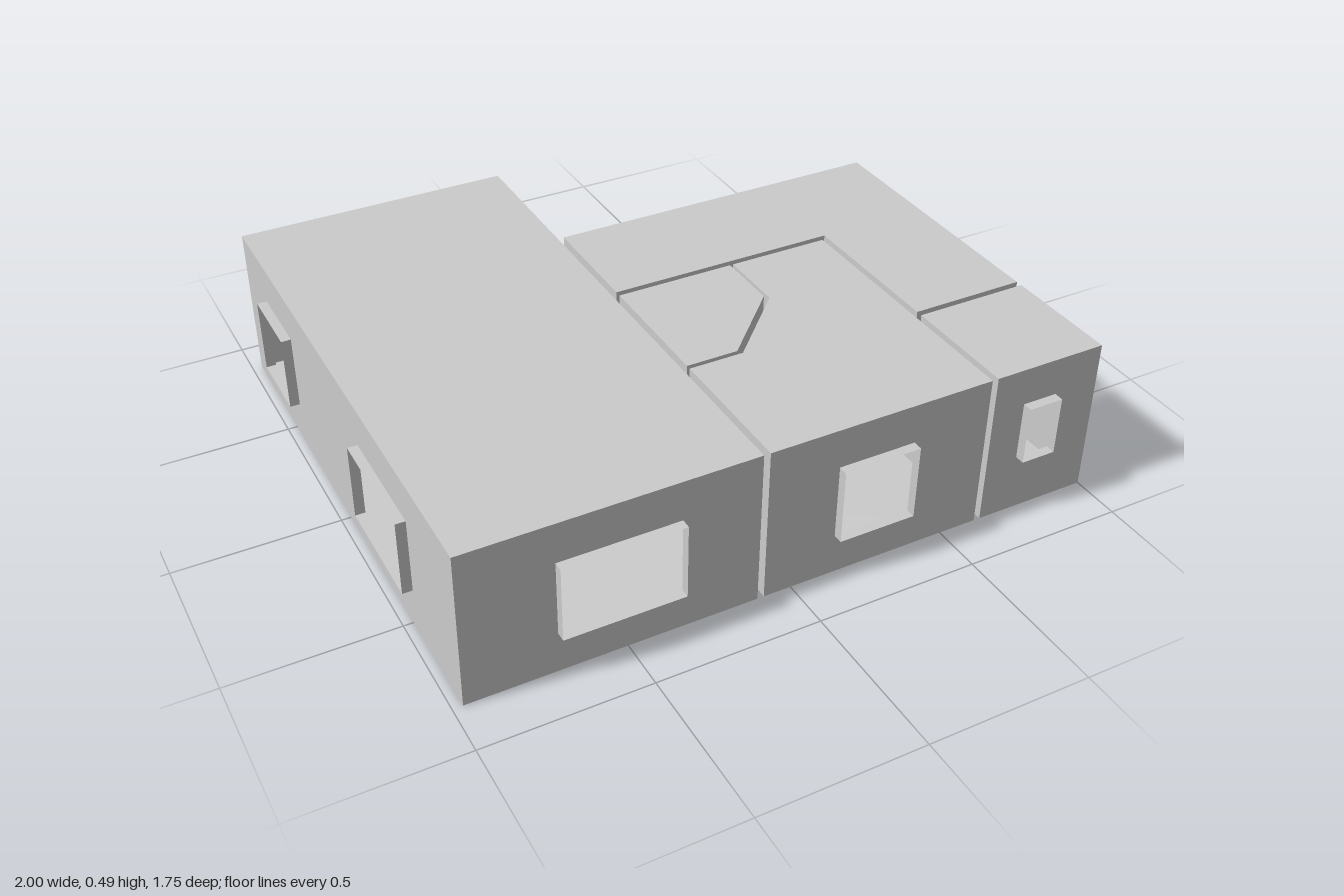
import * as THREE from 'three';

const H = 0.49;                 // room height
const TOP = 0.365;              // head height of doors and windows
const SILL = 0.13;
const OUT = 0.03, GAP = 0.02;   // depth of window reveals and of gaps between rooms

const material = new THREE.MeshStandardMaterial({
  color: 0xcccccc, side: THREE.DoubleSide, flatShading: true,
});

// Openings: wall index, start and end along that wall, reveal depth (0 = hole only)
const door = (wall, u0, u1, depth = 0) => ({ wall, u0, u1, y0: 0, y1: TOP, depth, name: 'doorReveal' });
const windowAt = (wall, u0, u1, y0 = SILL, y1 = TOP) => ({ wall, u0, u1, y0, y1, depth: OUT, name: 'windowReveal' });

// Floor plans as [x, z] corners, running so that each wall faces outward
const rooms = [
  {
    name: 'longRoom',
    plan: [[-0.97, 0.845], [-0.105, 0.845], [-0.105, -0.875], [-0.97, -0.875]],
    openings: [windowAt(0, 0.27, 0.63), door(1, 0.985, 1.155, GAP),
      windowAt(3, 0.205, 0.445), windowAt(3, 1.03, 1.395)],
  },
  {
    name: 'hallway',
    plan: [[-0.085, -0.04], [0.64, -0.04], [0.64, 0.46], [1, 0.46], [1, -0.405], [-0.085, -0.405]],
    openings: [door(1, 0.235, 0.395, GAP), door(2, 0.1, 0.26, GAP),
      door(4, 0.26, 0.42, GAP), door(5, 0.095, 0.265)],
  },
  {
    name: 'cornerRoom',
    plan: [[-0.085, 0.395], [0.075, 0.395], [0.29, 0.18], [0.29, -0.02], [-0.085, -0.02]],
    openings: [door(1, 0.07, 0.23, 0.018)],
  },
  {
    name: 'middleRoom',
    plan: [[-0.085, 0.845], [0.62, 0.845], [0.62, -0.02], [0.3, -0.02],
      [0.3, 0.195], [0.085, 0.41], [-0.085, 0.41]],
    openings: [windowAt(0, 0.22, 0.46), door(1, 0.49, 0.65), door(4, 0.07, 0.23)],
  },
  {
    name: 'smallRoom',
    plan: [[0.64, 0.845], [1, 0.845], [1, 0.48], [0.64, 0.48]],
    openings: [windowAt(0, 0.105, 0.215, 0.185, 0.37), door(2, 0.1, 0.26)],
  },
];

function addMesh(parent, geometry, name) {
  const mesh = new THREE.Mesh(geometry, material);
  mesh.name = name;
  parent.add(mesh);
  return mesh;
}

// Flat wall sheet: doors notch the bottom edge, windows are holes
function wallGeometry(length, openings) {
  const shape = new THREE.Shape().moveTo(0, 0);
  for (const { u0, u1, y0, y1 } of openings) {
    if (y0 === 0) {
      shape.lineTo(u0, 0).lineTo(u0, y1).lineTo(u1, y1).lineTo(u1, 0);
    } else {
      shape.holes.push(new THREE.Path().moveTo(u0, y0).lineTo(u0, y1).lineTo(u1, y1).lineTo(u1, y0).closePath());
    }
  }
  shape.lineTo(length, 0).lineTo(length, H).lineTo(0, H).closePath();
  return new THREE.ShapeGeometry(shape);
}

// Thin open-ended rectangular sleeve reaching outward from an opening
function addReveal(wall, { u0, u1, y0, y1, depth, name }) {
  const sleeve = new THREE.Group();
  sleeve.name = name;
  const w = u1 - u0, h = y1 - y0;
  for (const s of [-1, 1]) {
    addMesh(sleeve, new THREE.PlaneGeometry(depth, h).rotateY(s * Math.PI / 2).translate(s * w / 2, 0, 0), 'jamb');
    addMesh(sleeve, new THREE.PlaneGeometry(w, depth).rotateX(-s * Math.PI / 2).translate(0, s * h / 2, 0),
      s > 0 ? 'lintel' : 'sill');
  }
  sleeve.position.set((u0 + u1) / 2, (y0 + y1) / 2, depth / 2);
  wall.add(sleeve);
}

function buildRoom({ name, plan, openings }) {
  const room = new THREE.Group();
  room.name = name;

  // Floor faces down, roof faces up
  const outline = (sign) => new THREE.Shape(plan.map(([x, z]) => new THREE.Vector2(x, sign * z)));
  addMesh(room, new THREE.ShapeGeometry(outline(1)).rotateX(Math.PI / 2), 'floor');
  addMesh(room, new THREE.ShapeGeometry(outline(-1)).rotateX(-Math.PI / 2).translate(0, H, 0), 'roof');

  // One wall per side of the plan
  plan.forEach(([ax, az], i) => {
    const [bx, bz] = plan[(i + 1) % plan.length];
    const here = openings.filter((o) => o.wall === i);
    const wall = new THREE.Group();
    wall.name = 'wall';
    addMesh(wall, wallGeometry(Math.hypot(bx - ax, bz - az), here), 'wallPanel');
    here.filter((o) => o.depth > 0).forEach((o) => addReveal(wall, o));
    wall.position.set(ax, 0, az);
    wall.rotation.y = Math.atan2(az - bz, bx - ax);
    room.add(wall);
  });
  return room;
}

export function createModel() {
  const model = new THREE.Group();
  model.name = 'apartment';
  rooms.forEach((r) => model.add(buildRoom(r)));
  return model;
}
